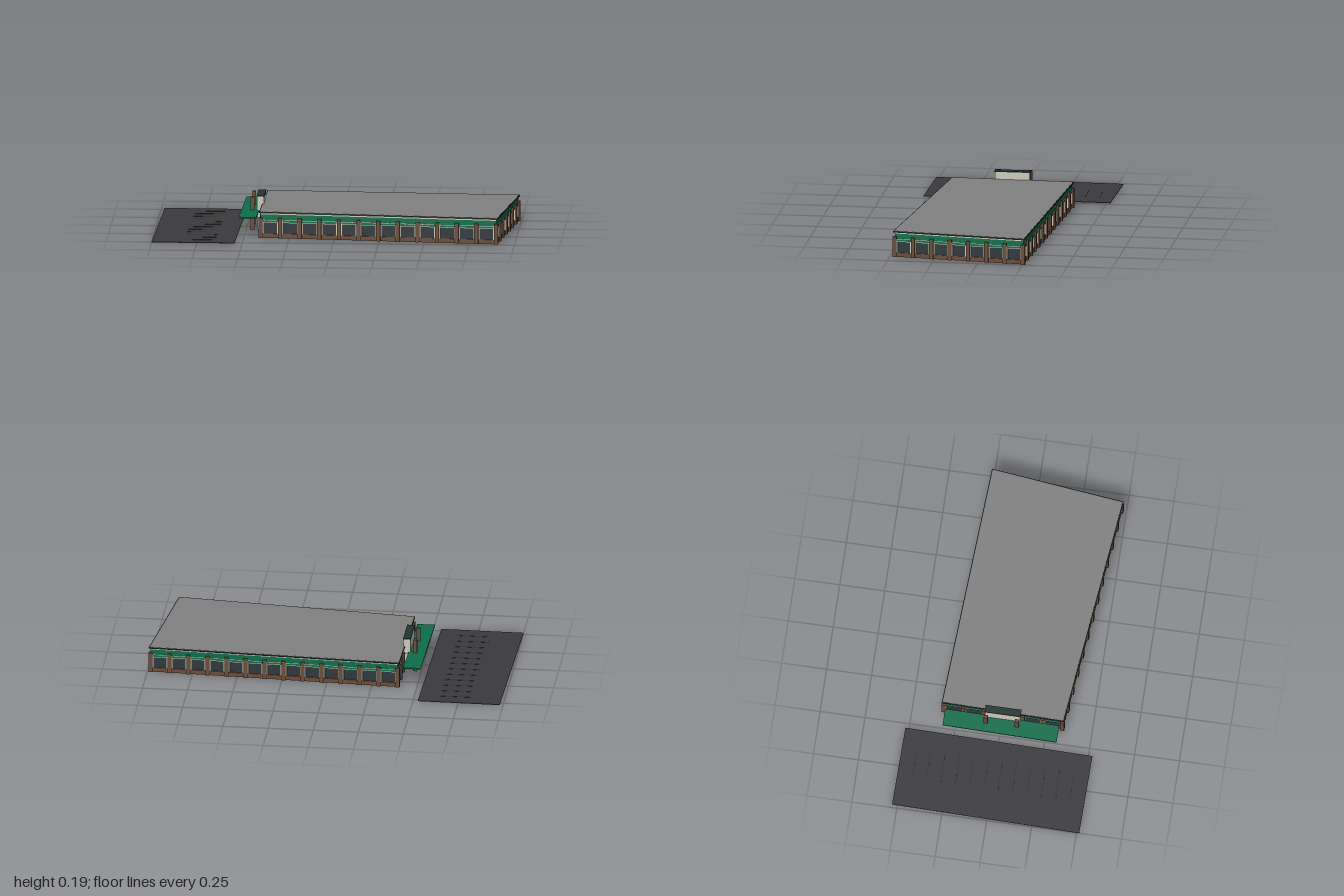
import * as THREE from 'three';

const mat = (color) => new THREE.MeshStandardMaterial({ color });
const M = {
  roof: mat(0x808080), fascia: mat(0x20352f), green: mat(0x0d6e4a), cream: mat(0xcfcabb),
  brown: mat(0x6b4c39), glass: mat(0x2f383d), asphalt: mat(0x3a3a3c), line: mat(0x2a3033),
};

// Ground outline of the building as [x, z]: front left, front right, back right, back left
const OUTLINE = [[-0.415, 0.342], [0.904, 0.481], [0.99, -0.259], [-0.402, -0.335]];
const BAYS = [12, 7, 13, 6];

// Moves every edge of an outline outward by d
function offset(points, d) {
  const n = points.length;
  const normal = (i) => {
    const a = points[(i + n) % n], b = points[(i + 1) % n];
    const l = Math.hypot(b[0] - a[0], b[1] - a[1]);
    return [-(b[1] - a[1]) / l, (b[0] - a[0]) / l];
  };
  return points.map(([x, z], i) => {
    const p = normal(i - 1), q = normal(i);
    const k = d / (1 + p[0] * q[0] + p[1] * q[1]);
    return [x + (p[0] + q[0]) * k, z + (p[1] + q[1]) * k];
  });
}

// Upright slab on an outline between two heights
function slab(parent, name, points, y0, y1, material) {
  const shape = new THREE.Shape(points.map(([x, z]) => new THREE.Vector2(x, -z)));
  const geo = new THREE.ExtrudeGeometry(shape, { depth: y1 - y0, bevelEnabled: false });
  geo.rotateX(-Math.PI / 2).translate(0, y0, 0);
  const mesh = new THREE.Mesh(geo, material);
  mesh.name = name;
  parent.add(mesh);
}

// Box given by its centre in x and z and its two heights
function box(parent, name, x, z, w, d, y0, y1, material) {
  const mesh = new THREE.Mesh(new THREE.BoxGeometry(w, y1 - y0, d), material);
  mesh.position.set(x, (y0 + y1) / 2, z);
  mesh.name = name;
  parent.add(mesh);
}

export function createModel() {
  const model = new THREE.Group();
  model.name = 'lowBuilding';

  // Stacked layers of the main hall
  const hall = new THREE.Group();
  hall.name = 'hall';
  model.add(hall);
  const wall = offset(OUTLINE, -0.007);
  slab(hall, 'plinth', offset(wall, 0.002), 0, 0.024, M.brown);
  slab(hall, 'glazedWall', offset(wall, -0.004), 0.024, 0.1, M.glass);
  slab(hall, 'greenBand', wall, 0.1, 0.131, M.green);
  slab(hall, 'creamBand', offset(wall, 0.001), 0.131, 0.138, M.cream);
  slab(hall, 'roofEdge', offset(OUTLINE, 0.002), 0.138, 0.1445, M.fascia);
  slab(hall, 'roofTop', offset(OUTLINE, -0.003), 0.1445, 0.1455, M.roof);

  // Pillars and framed windows along each side
  wall.forEach((a, side) => {
    const b = wall[(side + 1) % 4];
    const dx = b[0] - a[0], dz = b[1] - a[1];
    const facade = new THREE.Group();
    facade.name = 'facade';
    facade.position.set(a[0], 0, a[1]);
    facade.rotation.y = Math.atan2(-dz, dx);
    hall.add(facade);
    const n = BAYS[side], step = Math.hypot(dx, dz) / n;
    for (let i = 0; i <= n; i++) {
      const x = i * step;
      box(facade, 'pillar', x, 0.002, 0.022, 0.017, 0, 0.113, M.brown);
      if (i === n) continue;
      const mid = x + step / 2, edge = step / 2 - 0.0135;
      for (const s of [-1, 1]) {
        box(facade, 'windowJamb', mid + s * edge, -0.002, 0.006, 0.006, 0.024, 0.1, M.cream);
      }
      box(facade, 'windowHead', mid, -0.002, edge * 2, 0.006, 0.085, 0.088, M.cream);
      box(facade, 'spandrel', mid, -0.002, edge * 2, 0.007, 0.088, 0.098, M.green);
      box(facade, 'spandrelTrim', mid, -0.002, edge * 2, 0.008, 0.098, 0.101, M.cream);
    }
  });

  // Entrance: canopy, tall cream block, two posts and a glazed porch
  const entrance = new THREE.Group();
  entrance.name = 'entrance';
  model.add(entrance);
  slab(entrance, 'canopy',
    [[-0.53, 0.32], [-0.432, 0.32], [-0.424, -0.315], [-0.52, -0.315]], 0.103, 0.11, M.green);
  box(entrance, 'entranceBlock', -0.42, 0.007, 0.038, 0.194, 0.1, 0.187, M.cream);
  box(entrance, 'entranceBlockCap', -0.42, 0.007, 0.042, 0.2, 0.187, 0.192, M.fascia);
  box(entrance, 'porchGlass', -0.418, 0.007, 0.026, 0.14, 0.004, 0.1, M.glass);
  for (const z of [-0.065, -0.001, 0.015, 0.079]) {
    box(entrance, 'doorFrame', -0.42, z, 0.034, 0.007, 0, 0.1, M.cream);
  }
  box(entrance, 'doorHead', -0.42, 0.007, 0.034, 0.15, 0.085, 0.092, M.cream);
  for (const z of [-0.083, 0.09]) {
    box(entrance, 'entrancePost', -0.465, z, 0.02, 0.022, 0, 0.185, M.brown);
  }

  // Car park with bay lines
  const carPark = new THREE.Group();
  carPark.name = 'carPark';
  model.add(carPark);
  slab(carPark, 'asphalt',
    [[-1, 0.515], [-0.543, 0.522], [-0.527, -0.521], [-0.982, -0.529]], 0, 0.003, M.asphalt);
  for (let i = 0; i < 12; i++) {
    box(carPark, 'bayLine', -0.724 - i * 0.0012, -0.442 + i * 0.0798, 0.17, 0.004, 0.003, 0.004, M.line);
  }
  return model;
}
